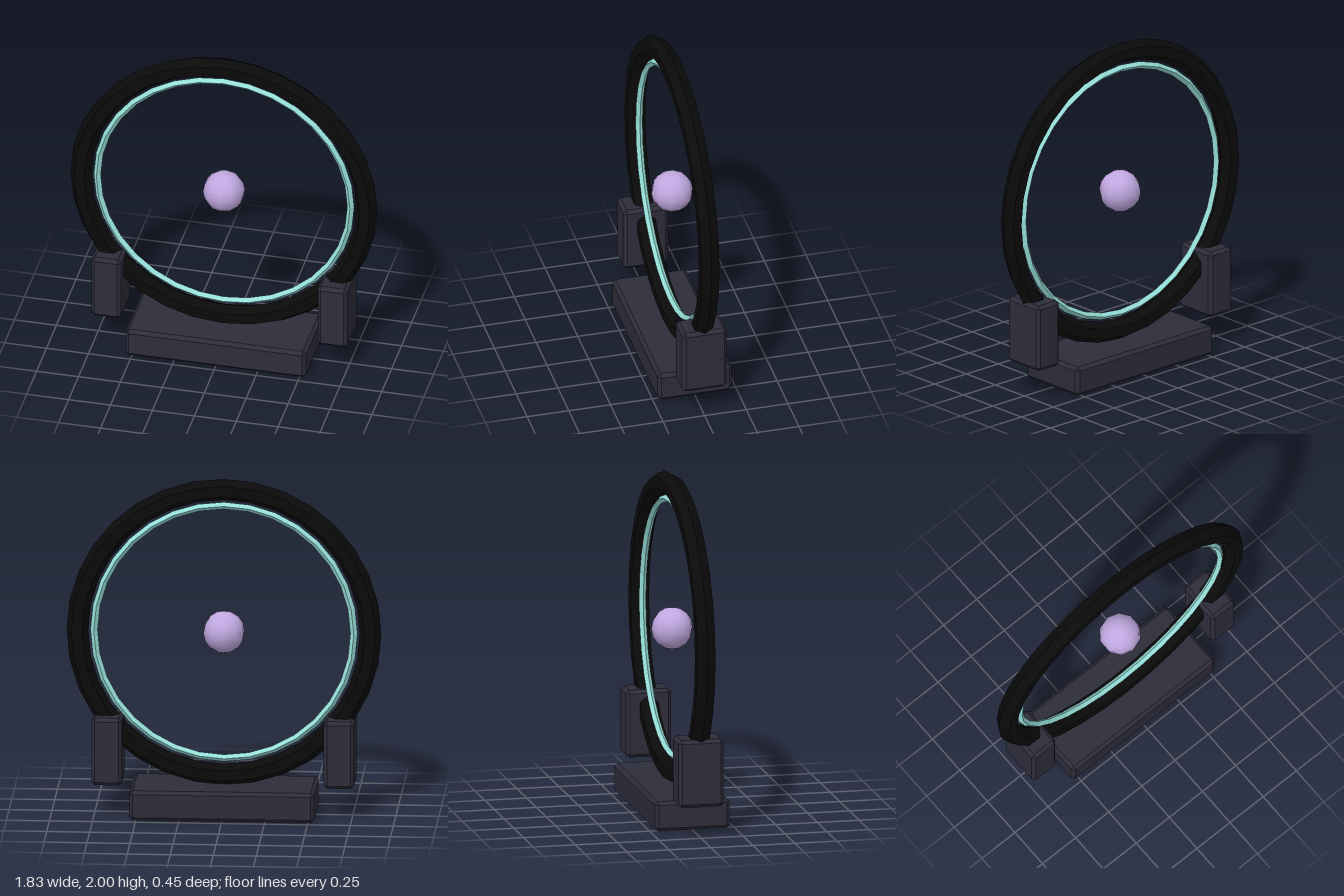
import * as THREE from 'three';
import { ConvexGeometry } from 'three/addons/geometries/ConvexGeometry.js';

const CENTER_Y = 1.085;

function flatMaterial(name, color, flatShading = true) {
  const m = new THREE.MeshStandardMaterial({ color, flatShading });
  m.name = name;
  return m;
}

// Box with a single flat chamfer on every edge
function chamferedBox(w, h, d, c) {
  const half = [w / 2, h / 2, d / 2];
  const points = [];
  for (const sx of [-1, 1]) for (const sy of [-1, 1]) for (const sz of [-1, 1]) {
    for (let face = 0; face < 3; face++) {
      const p = [sx, sy, sz].map((s, i) => s * (half[i] - (i === face ? 0 : c)));
      points.push(new THREE.Vector3(...p));
    }
  }
  return new ConvexGeometry(points);
}

export function createModel() {
  const model = new THREE.Group();
  model.name = 'ringPortal';

  const stone = flatMaterial('darkStone', 0x2e2c3a);
  const black = flatMaterial('blackMetal', 0x0a0a0a);
  const teal = flatMaterial('tealGlow', 0x96dfd9);
  const lavender = flatMaterial('lavenderOrb', 0xc0a8e0, false);

  const add = (name, geometry, material, x, y) => {
    const mesh = new THREE.Mesh(geometry, material);
    mesh.name = name;
    mesh.position.set(x, y, 0);
    model.add(mesh);
    return mesh;
  };

  // Base slab and the two side supports
  add('base', chamferedBox(1.075, 0.177, 0.446, 0.02), stone, 0, 0.0885);
  for (const [name, side] of [['leftSupport', 1], ['rightSupport', -1]]) {
    add(name, chamferedBox(0.177, 0.402, 0.268, 0.02), stone, side * 0.675, 0.385);
  }

  // Six-sided outer ring and thin diamond-section inner ring
  add('outerRing', new THREE.TorusGeometry(0.8525, 0.0625, 6, 32), black, 0, CENTER_Y);
  add('innerRing', new THREE.TorusGeometry(0.756, 0.021, 4, 32), teal, 0, CENTER_Y);

  // Floating orb
  const orb = add('orb', new THREE.SphereGeometry(0.123, 10, 8), lavender, 0, CENTER_Y);
  orb.rotation.y = Math.PI / 2;

  return model;
}
